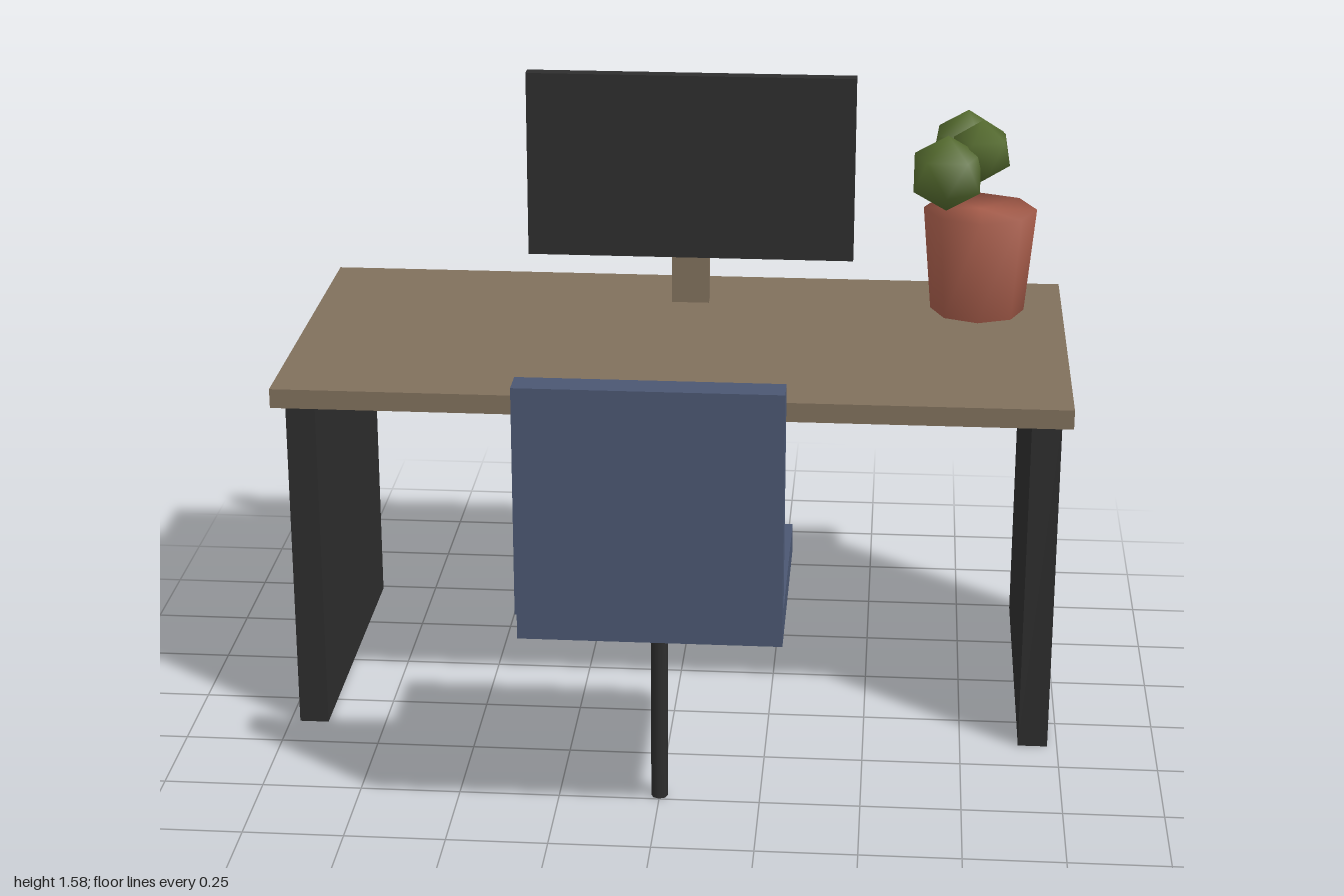
import * as THREE from 'three';
import { mergeVertices } from 'three/addons/utils/BufferGeometryUtils.js';

const material = (name, color) => {
  const m = new THREE.MeshStandardMaterial({ color });
  m.name = name;
  return m;
};

// Weld all shared corners so the low-poly form shades smoothly
function softened(geometry) {
  geometry.deleteAttribute('uv');
  geometry.deleteAttribute('normal');
  const welded = mergeVertices(geometry, 1e-4);
  welded.computeVertexNormals();
  return welded;
}

export function createModel() {
  const wood = material('wood', 0x80705c);
  const charcoal = material('charcoal', 0x2d2d2d);
  const fabric = material('blue fabric', 0x4b5772);
  const clay = material('terracotta', 0xa65c4a);
  const leaf = material('leaf green', 0x556b2f);

  const model = new THREE.Group();
  model.name = 'deskWithChair';

  function group(name) {
    const g = new THREE.Group();
    g.name = name;
    model.add(g);
    return g;
  }
  function add(parent, name, geometry, mat, x, y, z) {
    const mesh = new THREE.Mesh(geometry, mat);
    mesh.name = name;
    mesh.position.set(x, y, z);
    parent.add(mesh);
    return mesh;
  }
  // Box given by its lower and upper limits on each axis
  function box(parent, name, mat, [x0, x1], [y0, y1], [z0, z1]) {
    return add(parent, name, new THREE.BoxGeometry(x1 - x0, y1 - y0, z1 - z0), mat,
      (x0 + x1) / 2, (y0 + y1) / 2, (z0 + z1) / 2);
  }

  // Desk: top on two slab legs
  const desk = group('desk');
  box(desk, 'deskTop', wood, [-1, 1], [0.9, 0.95], [-0.8, 0.2]);
  box(desk, 'leftLeg', charcoal, [0.9, 0.975], [0, 0.9], [-0.735, 0.135]);
  box(desk, 'rightLeg', charcoal, [-0.975, -0.9], [0, 0.9], [-0.735, 0.135]);

  // Monitor on a short stand
  const monitor = group('monitor');
  box(monitor, 'screen', charcoal, [-0.4375, 0.4375], [1.08, 1.58], [-0.593, -0.555]);
  box(monitor, 'stand', wood, [-0.05, 0.05], [0.95, 1.085], [-0.615, -0.565]);

  // Chair: seat, backrest and a single post
  const chair = group('chair');
  box(chair, 'seat', fabric, [-0.3125, 0.3125], [0.55, 0.627], [0.2, 0.765]);
  box(chair, 'backrest', fabric, [-0.3125, 0.3125], [0.627, 1.19], [0.725, 0.8]);
  add(chair, 'post', softened(new THREE.CylinderGeometry(0.021, 0.021, 0.55, 8)), charcoal, 0, 0.275, 0.477);

  // Potted plant: tapered eight-sided pot and three leaf clumps
  const plant = group('plant');
  add(plant, 'pot', softened(new THREE.CylinderGeometry(0.15, 0.125, 0.28, 8)), clay, 0.772, 1.09, -0.573);
  const clumps = [
    [0.735, 1.365, -0.68, 0.106, 0],
    [0.68, 1.348, -0.492, 0.102, 0.3],
    [0.77, 1.39, -0.562, 0.084, 0.6],
  ];
  for (const [x, y, z, r, turn] of clumps) {
    const geometry = softened(new THREE.IcosahedronGeometry(r, 0));
    geometry.rotateZ(-0.5536); // stand it on a corner
    geometry.rotateY(turn);
    add(plant, 'leafClump', geometry, leaf, x, y, z);
  }

  return model;
}
